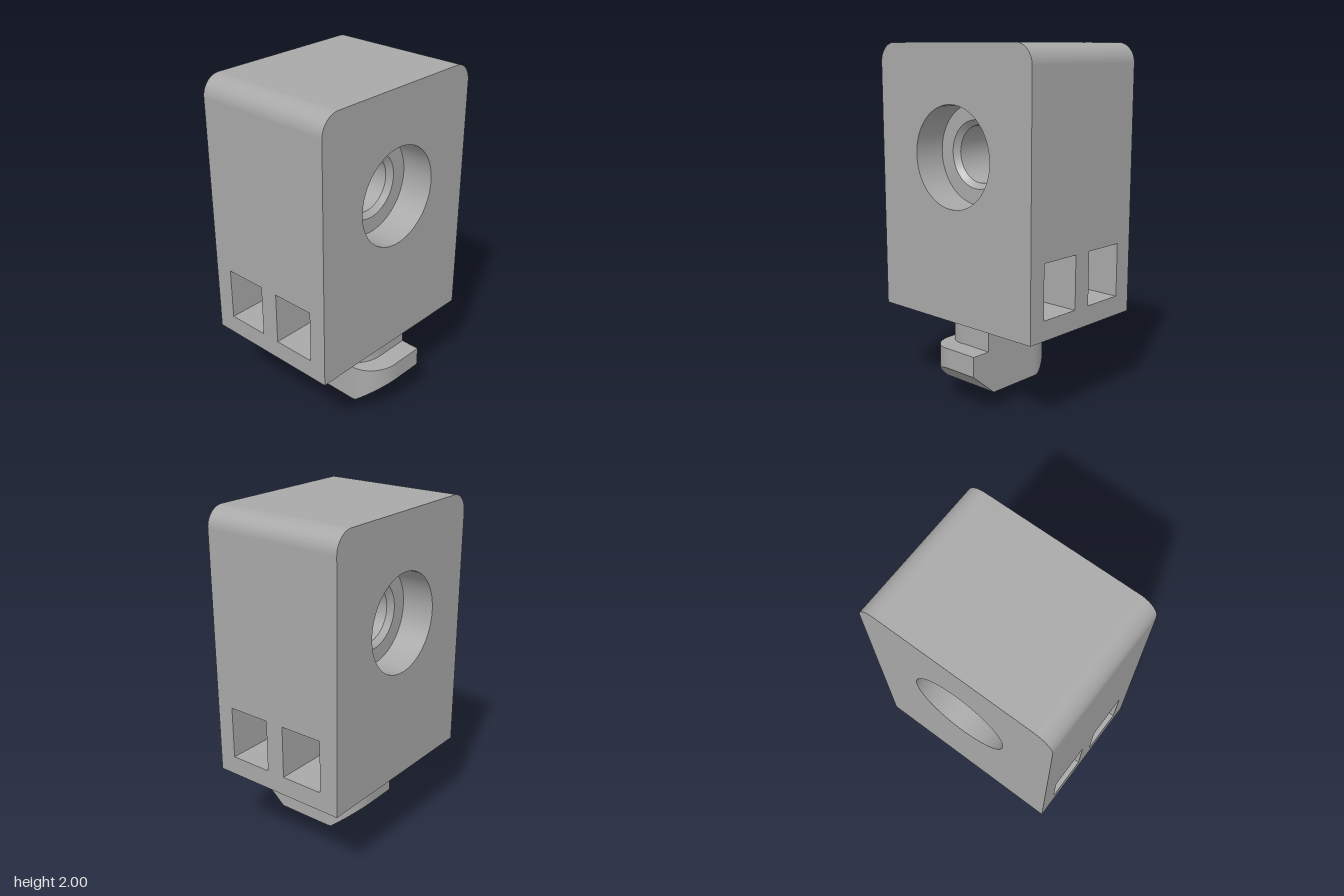
import * as THREE from 'three';
import { toCreasedNormals } from 'three/addons/utils/BufferGeometryUtils.js';

const grey = new THREE.MeshStandardMaterial({ color: 0xa8a8a8 });
grey.name = 'plain grey';

const CX = -0.0225, HALF_W = 0.4175, HALF_D = 0.565; // housing
const BASE = 0.49, SPLIT = 1.0, TOP = 2.0;
const FOOT_X = 0.09;

function part(name, geometry, crease = 0.5) {
  const mesh = new THREE.Mesh(toCreasedNormals(geometry, crease), grey);
  mesh.name = name;
  return mesh;
}

// Upper housing: rounded top, bored from side to side
function upperHousing() {
  const r = 0.11, d = HALF_D;
  const s = new THREE.Shape();
  s.moveTo(-d, SPLIT);
  s.lineTo(d, SPLIT);
  s.lineTo(d, TOP - r);
  s.absarc(d - r, TOP - r, r, 0, Math.PI / 2, false);
  s.absarc(-d + r, TOP - r, r, Math.PI / 2, Math.PI, false);
  s.closePath();
  s.holes.push(new THREE.Path().absarc(0, 1.4, 0.28, 0, Math.PI * 2, true));
  const g = new THREE.ExtrudeGeometry(s, { depth: HALF_W * 2, bevelEnabled: false, curveSegments: 32 });
  g.translate(0, 0, -HALF_W).rotateY(Math.PI / 2).translate(CX, 0, 0);
  return part('upperHousing', g);
}

// Lower housing: two square channels running front to back
function lowerHousing() {
  const rect = (p, x0, y0, x1, y1) => {
    p.moveTo(x0, y0);
    p.lineTo(x1, y0);
    p.lineTo(x1, y1);
    p.lineTo(x0, y1);
    p.closePath();
    return p;
  };
  const s = rect(new THREE.Shape(), CX - HALF_W, BASE, CX + HALF_W, SPLIT);
  for (const x of [-0.328, 0.038]) s.holes.push(rect(new THREE.Path(), x, 0.6, x + 0.254, 0.903));
  const g = new THREE.ExtrudeGeometry(s, { depth: HALF_D * 2, bevelEnabled: false });
  g.translate(0, 0, -HALF_D);
  return part('lowerHousing', g);
}

// Collar inside the bore: recessed on both sides, with chamfered edges
function boreCollar() {
  const h = 0.2275, c = 0.03;
  const profile = [[0.28, h], [0.19, h], [0.16, h - c], [0.16, c - h], [0.19, -h], [0.28, -h]]
    .map(([r, y]) => new THREE.Vector2(r, y));
  const g = new THREE.LatheGeometry(profile, 64);
  g.rotateZ(-Math.PI / 2).translate(CX, 1.4, 0);
  return part('boreCollar', g);
}

// Plan outline with two opposite corners rounded, the same under a half turn
function outline(half) {
  const r = 0.19, n = 20, pts = [];
  for (const k of [1, -1]) {
    pts.push([-half * k, r * k]);
    for (let i = 0; i <= n; i++) {
      const a = (i / n) * Math.PI / 2;
      pts.push([k * (half - r + r * Math.sin(a)), k * r * Math.cos(a)]);
    }
  }
  return pts;
}

// Locking foot: neck, wide wings with ramped tops, and sloping ends below
function lockingFoot() {
  const flat = 0.185, bottom = 0.1, slope = 0.13 / 0.155;
  const wing = outline(0.34), neck = outline(0.225);
  const topY = ([x, z]) => 0.345 - 0.09 * Math.max(0, z * Math.sign(x));
  const rings = [
    wing.map(([x, z]) => [THREE.MathUtils.clamp(x, -flat, flat), bottom, z]),
    wing.map(([x, z]) => [x, bottom + Math.max(0, Math.abs(x) - flat) * slope, z]),
    wing.map(([x, z]) => [x, topY([x, z]), z]),
    neck.map(([x, z], i) => [x, topY(wing[i]), z]),
    neck.map(([x, z]) => [x, BASE, z]),
  ];
  const pos = [];
  const n = wing.length;
  for (let i = 0; i < n; i++) {
    const j = (i + 1) % n;
    for (let k = 0; k < rings.length - 1; k++) {
      const lo = rings[k], hi = rings[k + 1];
      pos.push(...lo[i], ...lo[j], ...hi[j], ...lo[i], ...hi[j], ...hi[i]);
    }
    pos.push(0, bottom, 0, ...rings[0][j], ...rings[0][i]);
  }
  const g = new THREE.BufferGeometry();
  g.setAttribute('position', new THREE.Float32BufferAttribute(pos, 3));
  g.computeVertexNormals();
  g.translate(FOOT_X, 0, 0);
  return part('lockingFoot', g);
}

// Pointed tip under the foot
function tip() {
  const g = new THREE.ConeGeometry(0.093, 0.1, 40);
  g.rotateX(Math.PI).translate(FOOT_X, 0.05, 0);
  return part('tip', g);
}

export function createModel() {
  const model = new THREE.Group();
  model.name = 'boredBlockWithLockingFoot';
  model.add(upperHousing(), lowerHousing(), boreCollar(), lockingFoot(), tip());
  return model;
}
